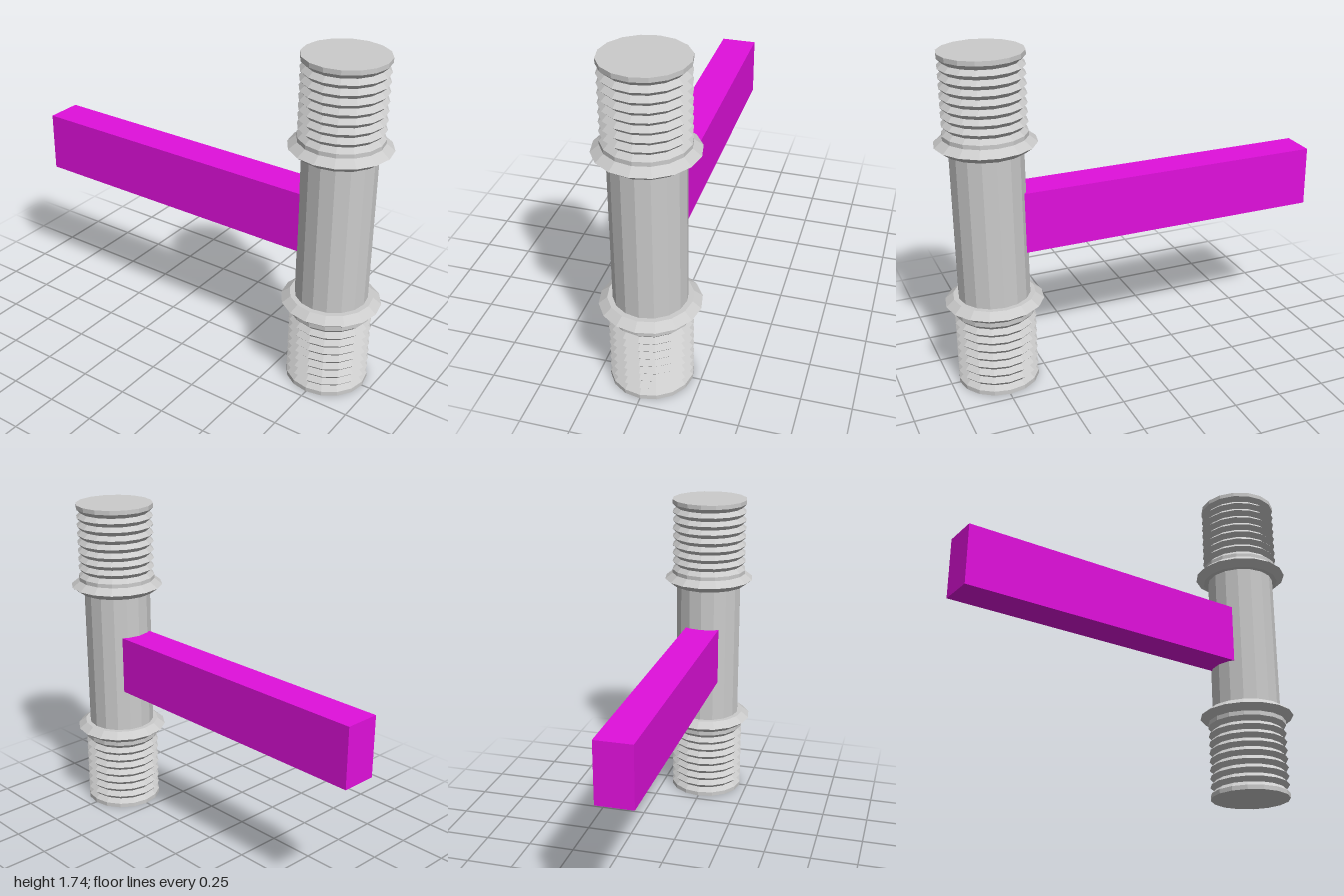
import * as THREE from 'three';

const SIDES = 16;
const POST_Z = 0.748;

export function createModel() {
  const model = new THREE.Group();
  const grey = new THREE.MeshStandardMaterial({ color: 0xcccccc, flatShading: true });
  const magenta = new THREE.MeshStandardMaterial({ color: 0xe010dc, flatShading: true });

  const add = (name, geometry, material, y, z) => {
    const mesh = new THREE.Mesh(geometry, material);
    mesh.name = name;
    mesh.position.set(0, y, z);
    model.add(mesh);
  };
  const lathe = (points) =>
    new THREE.LatheGeometry(points.map(([r, y]) => new THREE.Vector2(r, y)), SIDES);

  // Ribbed grip: plain rims at both ends with V grooves between them
  const gripHeight = 0.417, rim = 0.023, grooves = 8, outer = 0.208, inner = 0.184;
  const pitch = (gripHeight - 2 * rim) / grooves;
  const profile = [[0, 0], [outer, 0], [outer, rim]];
  for (let i = 0; i < grooves; i++) {
    profile.push([inner, rim + (i + 0.5) * pitch], [outer, rim + (i + 1) * pitch]);
  }
  profile.push([outer, gripHeight], [0, gripHeight]);
  const grip = lathe(profile);
  add('lowerGrip', grip, grey, 0, POST_Z);
  add('upperGrip', grip, grey, 1.32, POST_Z);

  // Bevelled collars where the grips meet the shaft
  const collar = lathe([[0, 0], [0.208, 0], [0.25, 0.032], [0.208, 0.065], [0, 0.065]]);
  add('lowerCollar', collar, grey, 0.417, POST_Z);
  add('upperCollar', collar, grey, 1.257, POST_Z);

  // Plain shaft between the collars
  add('shaft', new THREE.CylinderGeometry(0.182, 0.182, 0.8, SIDES), grey, 0.869, POST_Z);

  // Long bar reaching backwards from the shaft
  add('bar', new THREE.BoxGeometry(0.188, 0.315, 1.6), magenta, 0.872, -0.2);

  return model;
}
